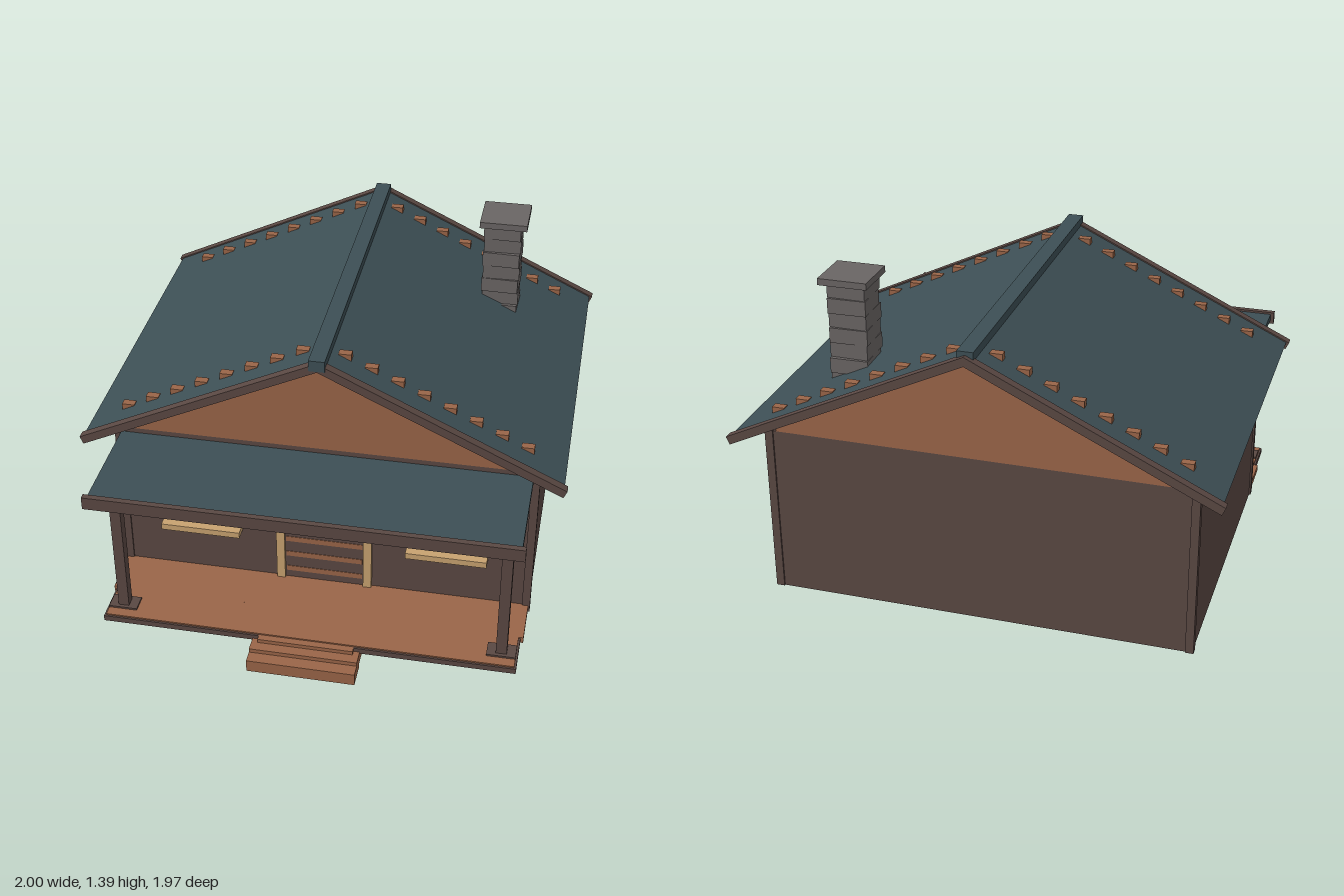
import * as THREE from 'three';

export function createModel() {
  const root = new THREE.Group();
  root.name = 'cabin';

  const mat = (name, color) => {
    const m = new THREE.MeshStandardMaterial({ color });
    m.name = name;
    return m;
  };
  const wood = mat('darkWood', 0x5a4843);
  const clay = mat('redwood', 0x9a6548);
  const slate = mat('roofSlate', 0x3d4f55);
  const tan = mat('paleTrim', 0xc8a270);
  const glass = mat('litGlass', 0xc08c48);
  const stone = mat('stone', 0x6a6564);

  const add = (name, geometry, material) => {
    const mesh = new THREE.Mesh(geometry, material);
    mesh.name = name;
    root.add(mesh);
    return mesh;
  };
  // Box given by its lower and upper limits on each axis
  const box = (name, m, x0, x1, y0, y1, z0, z1) => {
    const g = new THREE.BoxGeometry(x1 - x0, y1 - y0, z1 - z0);
    g.translate((x0 + x1) / 2, (y0 + y1) / 2, (z0 + z1) / 2);
    return add(name, g, m);
  };
  // Outline in x and y, extruded from z0 to z1
  const extrude = (name, m, points, z0, z1) => {
    const shape = new THREE.Shape(points.map(([x, y]) => new THREE.Vector2(x, y)));
    const g = new THREE.ExtrudeGeometry(shape, { depth: z1 - z0, bevelEnabled: false });
    g.translate(0, 0, z0);
    return add(name, g, m);
  };

  // House body, corner boards and gabled attic
  box('walls', wood, -0.88, 0.88, 0.065, 0.79, -0.865, 0.47);
  for (const s of [-1, 1]) {
    for (const z of [-0.855, 0.46]) {
      const post = box('cornerBoard', wood, -0.017, 0.017, 0.065, 0.8, -0.017, 0.017);
      post.position.set(s * 0.87, 0, z);
    }
  }
  extrude('attic', [clay, wood], [[-0.84, 0.79], [0.84, 0.79], [0.84, 0.845], [0, 1.245], [-0.84, 0.845]], -0.866, 0.471);

  // Roof, barge boards and ridge
  const slope = 0.475;
  const chevron = (x, top, bottom) => [
    [0, top], [-x, top - slope * x], [-x + 0.014, bottom - slope * (x - 0.014)],
    [0, bottom], [x - 0.014, bottom - slope * (x - 0.014)], [x, top - slope * x],
  ];
  extrude('roof', slate, chevron(0.987, 1.27, 1.242), -0.955, 0.555);
  extrude('bargeBoard', wood, chevron(1, 1.276, 1.237), 0.55, 0.588);
  extrude('bargeBoard', wood, chevron(1, 1.276, 1.237), -0.985, -0.948);
  box('ridgeCap', slate, -0.033, 0.033, 1.243, 1.29, -0.965, 0.592);

  // Rows of small blocks on both roof slopes
  for (const s of [-1, 1]) {
    for (const z of [-0.84, 0.435]) {
      for (let i = 0; i < 8; i++) {
        const x = 0.085 + i * 0.106;
        const block = box('roofBlock', clay, -0.026, 0.026, -0.03, 0.013, -0.017, 0.017);
        block.position.set(s * x, 1.273 - slope * x, z);
      }
    }
  }

  // Chimney of slightly staggered courses
  const courses = 7;
  const h = 0.45 / courses;
  const shift = [0.004, -0.008, 0.006, 0, 0.008, -0.005, 0.003];
  for (let i = 0; i < courses; i++) {
    const c = box('chimneyCourse', stone, -0.08, 0.08, 0, h, -0.077, 0.077);
    c.position.set(0.6, 0.915 + i * h, -0.575 + shift[i]);
    c.rotation.y = (i % 2 ? 1 : -1) * 0.025;
  }
  box('chimneyCap', stone, 0.5, 0.705, 1.362, 1.39, -0.68, -0.475);

  // Porch roof
  box('porchRoof', slate, -0.86, 0.86, 0.738, 0.768, 0.46, 0.93);
  box('porchFascia', wood, -0.875, 0.875, 0.722, 0.777, 0.927, 0.952);

  // Porch deck with dark framing beneath and around the front
  box('deckFrame', wood, -0.868, 0.868, 0.065, 0.09, 0.46, 0.866);
  box('deckInner', clay, -0.88, 0.88, 0.068, 0.096, 0.465, 0.68);
  box('deckOuter', clay, -0.86, 0.86, 0.08, 0.096, 0.68, 0.858);

  // Posts, post bases and footings
  for (const s of [-1, 1]) {
    const part = (name, m, w, y0, y1, d) => {
      const p = box(name, m, -w / 2, w / 2, y0, y1, -d / 2, d / 2);
      p.position.set(s * 0.8, 0, 0.777);
    };
    part('porchPost', wood, 0.045, 0.09, 0.74, 0.045);
    part('postBase', wood, 0.12, 0.09, 0.104, 0.075);
    part('footing', stone, 0.087, 0.022, 0.066, 0.083);
  }

  // Steps
  box('lowerStep', clay, -0.226, 0.226, 0, 0.055, 0.88, 0.985);
  box('middleStep', clay, -0.226, 0.226, 0.02, 0.073, 0.825, 0.932);
  box('upperStep', clay, -0.2, 0.2, 0.062, 0.09, 0.81, 0.888);

  // Door with board seams and pale frame
  box('door', wood, -0.17, 0.17, 0.095, 0.615, 0.468, 0.474);
  for (let i = 0; i < 6; i++) {
    const y = 0.13 + i * 0.08;
    box('doorBoard', clay, -0.165, 0.165, y, y + 0.025, 0.469, 0.476);
  }
  box('doorHead', clay, -0.17, 0.17, 0.6, 0.617, 0.465, 0.482);
  for (const s of [-1, 1]) {
    const jamb = box('doorJamb', tan, -0.018, 0.018, 0.095, 0.617, 0.465, 0.487);
    jamb.position.x = s * 0.188;
  }
  box('doorLintel', tan, -0.21, 0.21, 0.615, 0.656, 0.465, 0.492);

  // Windows with frame, cross bars and sill
  for (const s of [-1, 1]) {
    const part = (name, m, x0, x1, y0, y1, z1) => {
      box(name, m, x0, x1, y0, y1, 0.465, z1).position.x = s * 0.527;
    };
    part('windowPane', glass, -0.14, 0.14, 0.34, 0.59, 0.474);
    part('windowFrame', wood, -0.152, -0.134, 0.34, 0.6, 0.483);
    part('windowFrame', wood, 0.134, 0.152, 0.34, 0.6, 0.483);
    part('windowFrame', wood, -0.152, 0.152, 0.585, 0.6, 0.483);
    part('windowBar', wood, -0.009, 0.009, 0.34, 0.59, 0.48);
    part('windowBar', wood, -0.14, 0.14, 0.457, 0.472, 0.48);
    part('windowSill', tan, -0.171, 0.171, 0.318, 0.346, 0.532);
  }

  return root;
}
